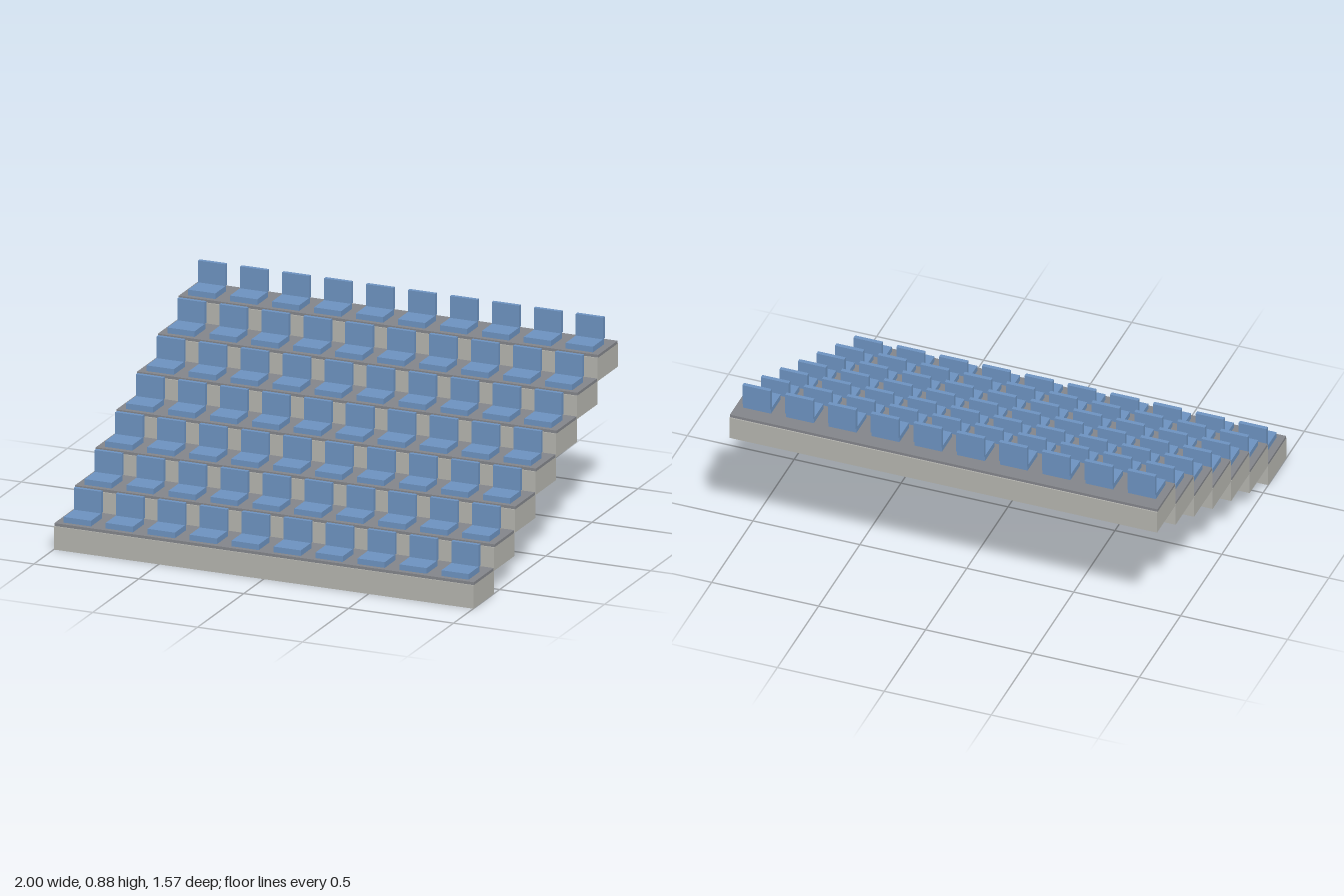
import * as THREE from 'three';

const ROWS = 7, SEATS = 10;
const ROW_DEPTH = 0.2245, ROW_RISE = 0.105;

export function createModel() {
  const concrete = new THREE.MeshStandardMaterial({ name: 'concrete', color: 0xb2b2ac });
  const treadGrey = new THREE.MeshStandardMaterial({ name: 'treadGrey', color: 0x828489 });
  const seatBlue = new THREE.MeshStandardMaterial({ name: 'seatBlue', color: 0x6c91be });

  // Shared box shapes
  const stepGeo = new THREE.BoxGeometry(2, 0.107, 0.223);
  const treadGeo = new THREE.BoxGeometry(2, 0.013, 0.212);
  const seatGeo = new THREE.BoxGeometry(0.13, 0.026, 0.118);
  const backGeo = new THREE.BoxGeometry(0.13, 0.1, 0.019);

  const add = (parent, name, geometry, material, x, y, z) => {
    const mesh = new THREE.Mesh(geometry, material);
    mesh.name = name;
    mesh.position.set(x, y, z);
    parent.add(mesh);
  };

  const model = new THREE.Group();
  model.name = 'grandstand';

  for (let r = 0; r < ROWS; r++) {
    // Each row rises and steps back from the one in front
    const row = new THREE.Group();
    row.name = `row${r + 1}`;
    row.position.set(0, r * ROW_RISE, ((ROWS - 1) / 2 - r) * ROW_DEPTH);
    model.add(row);

    add(row, 'step', stepGeo, concrete, 0, 0.0535, 0);
    add(row, 'tread', treadGeo, treadGrey, 0, 0.1135, 0);

    // Evenly spaced chairs: flat pad with an upright back
    for (let s = 0; s < SEATS; s++) {
      const chair = new THREE.Group();
      chair.name = `chair${s + 1}`;
      chair.position.x = (s - (SEATS - 1) / 2) * 0.2;
      row.add(chair);
      add(chair, 'seat', seatGeo, seatBlue, 0, 0.133, 0.024);
      add(chair, 'backrest', backGeo, seatBlue, 0, 0.196, -0.0355);
    }
  }
  return model;
}
